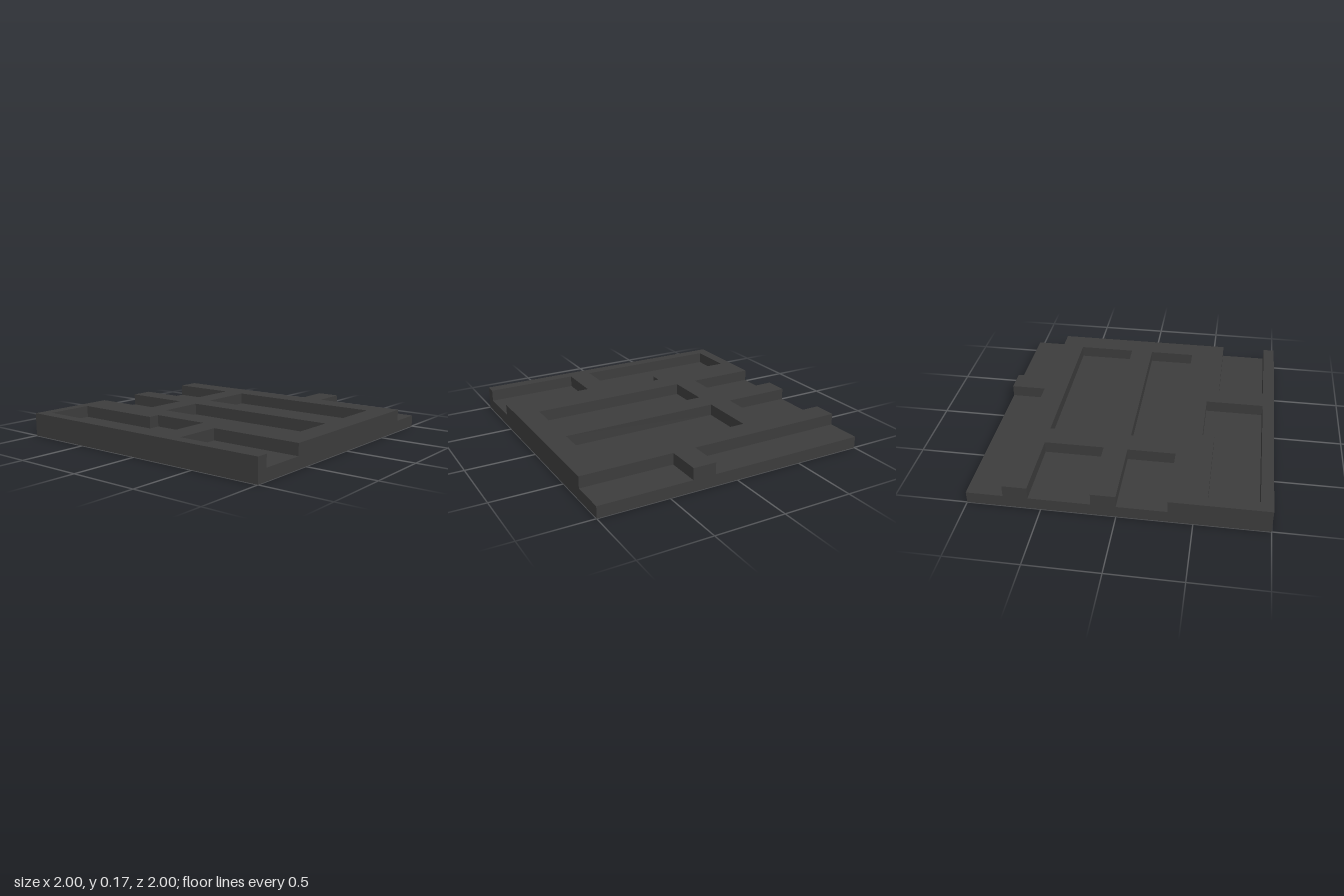
import * as THREE from 'three';

const U = 1 / 12; // layout grid unit

// Turns plan points [x, z] in grid units into a path for an upward extrusion
const plan = (points, PathClass) =>
  new PathClass(points.map(([x, z]) => new THREE.Vector2(x * U, -z * U)));

const rect = (x0, z0, x1, z1) => [[x0, z0], [x1, z0], [x1, z1], [x0, z1]];

export function createModel() {
  const group = new THREE.Group();
  group.name = 'brickFloorTile';
  const stone = new THREE.MeshStandardMaterial({ color: 0x3c3c3c });
  stone.name = 'dark stone';

  // Solid slab that forms the floor of every recess
  const slab = new THREE.Mesh(new THREE.BoxGeometry(2, U, 2), stone);
  slab.name = 'baseSlab';
  slab.position.y = U / 2;
  group.add(slab);

  // Raised joints: the outline is notched where recesses run off the edge
  const outline = plan([
    [-12, 12], [12, 12],
    [12, 11], [4, 11], [4, 7], [12, 7],           // front right recess
    [12, -9], [4, -9], [4, -12],                  // back right recess
    [2, -12], [2, -9], [-12, -9],                 // back left recess
    [-12, -7], [-6, -7], [-6, -2], [-12, -2],     // left recess, second row
    [-12, 0], [-6, 0], [-6, 4], [-12, 4],         // left recess, third row
  ], THREE.Shape);

  // Recesses enclosed on all sides
  const enclosed = [
    rect(-4, -7, 10, -2),
    rect(-4, 0, 10, 4),
    [[-11, 7], [-3.08, 7], [-3.08, 6], [2, 6], [2, 11], [-11, 11]],
  ];
  outline.holes = enclosed.map((points) => plan(points, THREE.Path));

  const geometry = new THREE.ExtrudeGeometry(outline, { depth: U, bevelEnabled: false });
  geometry.rotateX(-Math.PI / 2);
  const joints = new THREE.Mesh(geometry, stone);
  joints.name = 'raisedJoints';
  joints.position.y = U;
  group.add(joints);

  return group;
}
